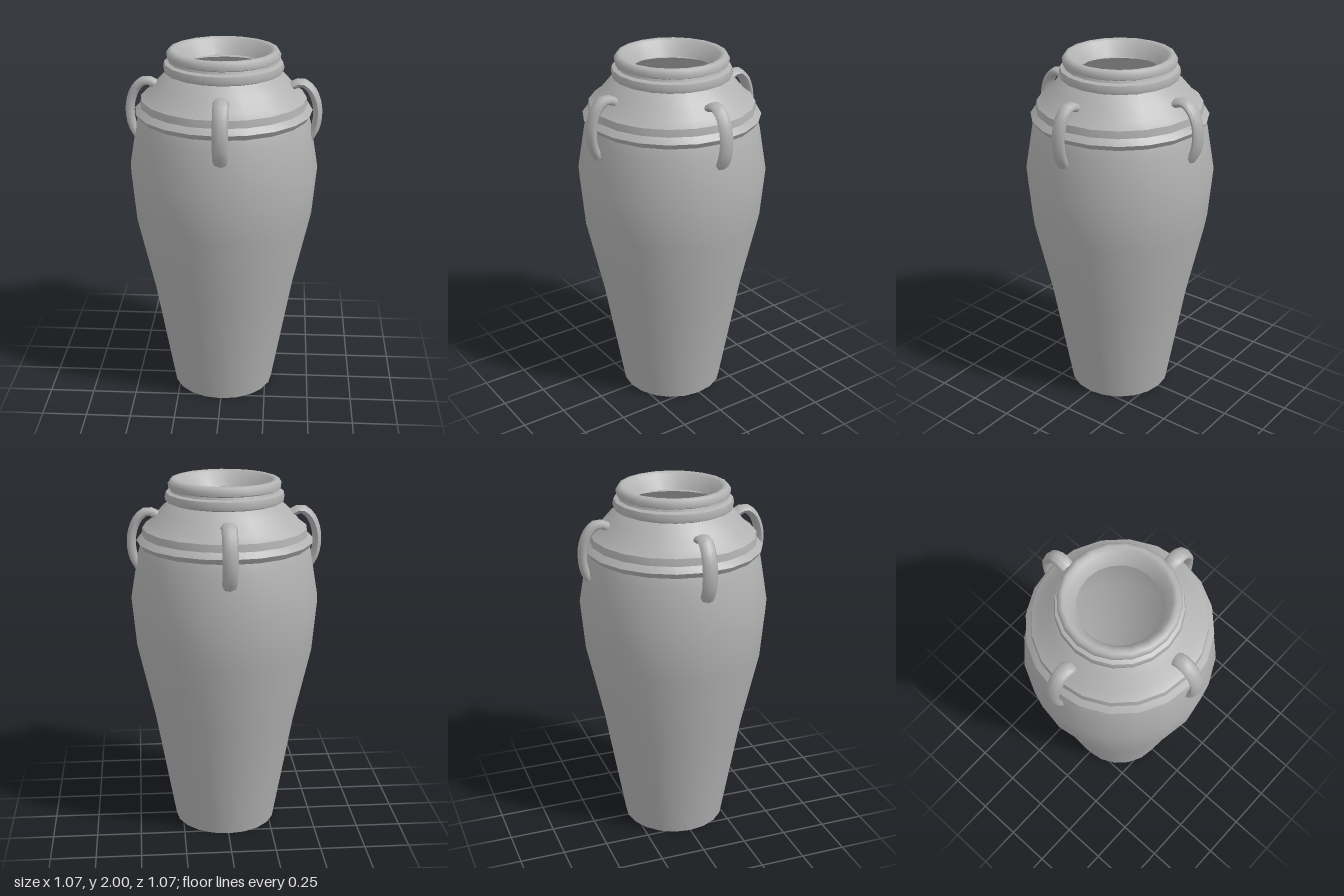
import * as THREE from 'three';
import { toCreasedNormals } from 'three/addons/utils/BufferGeometryUtils.js';

const clay = new THREE.MeshStandardMaterial({ color: 0xb2b2b2, side: THREE.DoubleSide });
clay.name = 'grey clay';

const SIDES = 20;

function addMesh(parent, name, geometry) {
  const mesh = new THREE.Mesh(geometry, clay);
  mesh.name = name;
  parent.add(mesh);
  return mesh;
}

// Turned part from [radius, height] pairs, listed bottom to top
function turned(points, crease) {
  const profile = points.map(([r, y]) => new THREE.Vector2(r, y));
  return toCreasedNormals(new THREE.LatheGeometry(profile, SIDES), crease);
}

export function createModel() {
  const jar = new THREE.Group();
  jar.name = 'jar';

  // Flat base
  const base = addMesh(jar, 'base', new THREE.CircleGeometry(0.287, SIDES));
  base.rotation.x = Math.PI / 2;

  // Tapering hollow body
  addMesh(jar, 'body', turned([
    [0.287, 0], [0.4, 0.635], [0.495, 1.06], [0.52, 1.34], [0.478, 1.59], [0.465, 1.635],
  ], 0.7));

  // Raised band and sloping shoulder
  addMesh(jar, 'shoulder', turned([
    [0.465, 1.635], [0.485, 1.665], [0.455, 1.695], [0.45, 1.735],
    [0.41, 1.765], [0.355, 1.83], [0.305, 1.875],
  ], 0.6));

  // Neck ring, groove, rolled lip and the open throat inside
  addMesh(jar, 'neckAndLip', turned([
    [0.305, 1.875], [0.322, 1.882], [0.326, 1.9], [0.32, 1.926], [0.297, 1.934],
    [0.293, 1.946], [0.306, 1.952], [0.308, 1.975], [0.295, 1.995], [0.278, 2],
    [0.257, 1.99], [0.215, 1.91],
  ], 0.75));

  // Four flattened loop handles
  const path = new THREE.CatmullRomCurve3([
    [0.35, 1.785], [0.385, 1.811], [0.425, 1.82], [0.472, 1.785], [0.505, 1.71],
    [0.511, 1.63], [0.497, 1.56], [0.465, 1.505],
  ].map(([r, y]) => new THREE.Vector3(r, y, 0)));
  const loop = new THREE.TubeGeometry(path, 14, 0.025, 8, false);
  loop.scale(1, 1, 1.65);
  loop.computeVertexNormals();
  const handleNames = ['leftHandle', 'backHandle', 'rightHandle', 'frontHandle'];
  handleNames.forEach((name, i) => {
    const handle = addMesh(jar, name, loop);
    handle.rotation.y = i * Math.PI / 2;
    handle.position.set(i % 2 ? 0.01 : 0, 0, i % 2 ? 0 : 0.01);
  });

  return jar;
}
